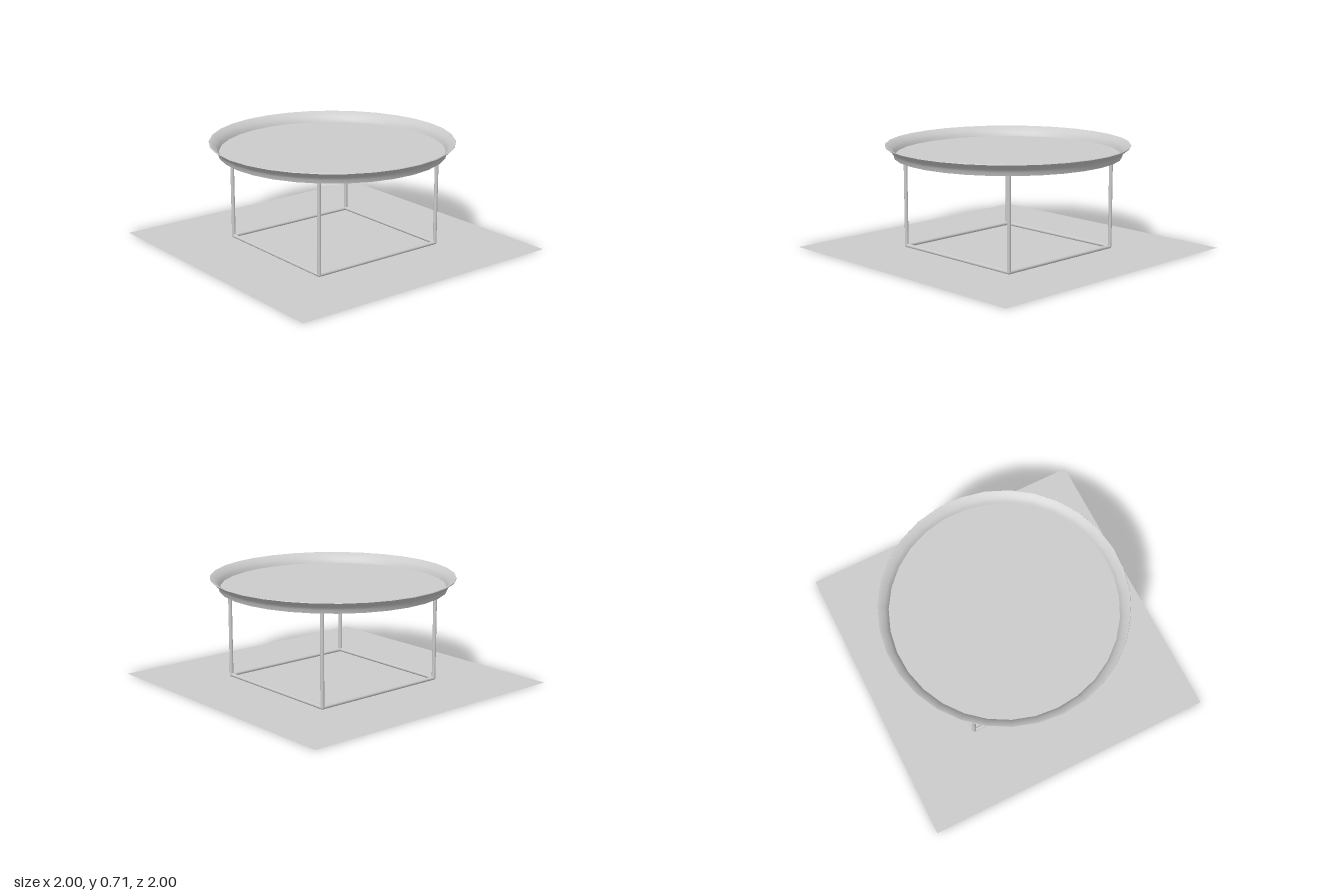
import * as THREE from 'three';
import { toCreasedNormals } from 'three/addons/utils/BufferGeometryUtils.js';

const grey = new THREE.MeshStandardMaterial({ color: 0xcccccc, side: THREE.DoubleSide });

function addMesh(parent, name, geometry) {
  const mesh = new THREE.Mesh(geometry, grey);
  mesh.name = name;
  parent.add(mesh);
  return mesh;
}

// Round bar between two points
function addBar(parent, name, a, b, radius) {
  const dir = b.clone().sub(a);
  const bar = addMesh(parent, name, new THREE.CylinderGeometry(radius, radius, dir.length(), 10));
  bar.position.copy(a).add(b).multiplyScalar(0.5);
  bar.quaternion.setFromUnitVectors(new THREE.Vector3(0, 1, 0), dir.normalize());
}

export function createModel() {
  const group = new THREE.Group();
  group.name = 'trayTable';

  // Flat square floor under the table
  const floor = addMesh(group, 'floor', new THREE.PlaneGeometry(2, 2));
  floor.rotation.x = -Math.PI / 2;

  // Thin round tray with a flared rim, as one closed profile
  const profile = [
    [0, 0.633], [0.757, 0.633], [0.763, 0.656], [0.772, 0.672], [0.789, 0.687],
    [0.806, 0.699], [0.816, 0.709], [0.814, 0.713], [0.806, 0.71],
    [0.789, 0.698], [0.772, 0.684], [0.759, 0.668], [0.75, 0.645], [0, 0.645],
  ].map(([r, y]) => new THREE.Vector2(r, y));
  const tray = addMesh(group, 'tray', toCreasedNormals(new THREE.LatheGeometry(profile, 31), 0.6));
  tray.position.z = -0.002;

  // Wire base: square of bars on the floor, with a leg at each corner
  const base = new THREE.Group();
  base.name = 'base';
  group.add(base);
  const r = 0.0125;
  const corners = [[-0.472, 0.483], [0.482, 0.483], [0.482, -0.499], [-0.472, -0.499]]
    .map(([x, z]) => new THREE.Vector3(x, r + 0.001, z));
  corners.forEach((corner, i) => {
    addBar(base, 'bottomBar', corner, corners[(i + 1) % 4], r);
    addBar(base, 'leg', corner, new THREE.Vector3(corner.x, 0.637, corner.z), r);
    addMesh(base, 'cornerJoint', new THREE.SphereGeometry(r, 10, 8)).position.copy(corner);
  });

  return group;
}
